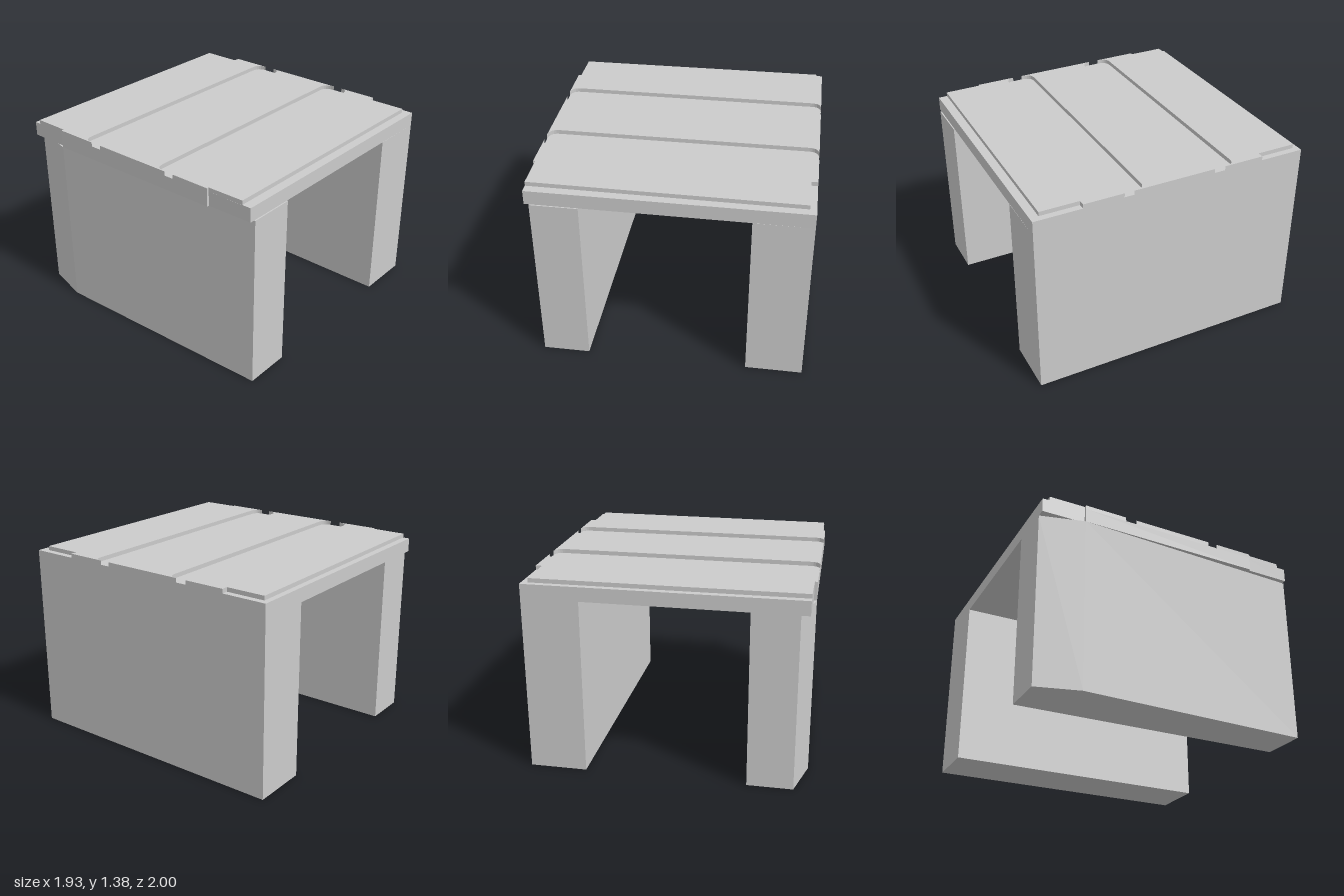
import * as THREE from 'three';

const material = new THREE.MeshStandardMaterial({ color: 0xcccccc, flatShading: true });

// Start a plan outline from [x, z] corners
function plan(points) {
  return new THREE.Shape(points.map(([x, z]) => new THREE.Vector2(x, -z)));
}

// Raise a plan outline from y0 to y1
function prism(name, shape, y0, y1) {
  const geometry = new THREE.ExtrudeGeometry(shape, { depth: y1 - y0, bevelEnabled: false, curveSegments: 6 });
  geometry.rotateX(-Math.PI / 2).translate(0, y0, 0);
  const mesh = new THREE.Mesh(geometry, material);
  mesh.name = name;
  return mesh;
}

const RIGHT = 0.965;
// Slightly slanting edge of the roof on the -x side
const leftEdge = (z) => -0.97 + (z + 0.69) * 0.011;

// Panel edge beside a groove: rounded ends run out to the roof edges.
// 'side' is the groove's side line, 'end' is where the rounding meets the edge.
function grooveEdge(side, end, fromRight) {
  const xs = [RIGHT, leftEdge(end)];
  const inset = 0.07;
  const points = xs.map((x) => {
    const dir = Math.sign(x);
    const curve = new THREE.QuadraticBezierCurve(
      new THREE.Vector2(x, end),
      new THREE.Vector2(x, side),
      new THREE.Vector2(x - dir * inset, side)
    );
    return curve.getPoints(6).map((p) => [p.x, p.y]);
  });
  const line = [...points[0], ...points[1].reverse()];
  return fromRight ? line : line.reverse();
}

export function createModel() {
  const model = new THREE.Group();
  model.name = 'openShelter';

  // Side walls; the -x one is bent outwards near the back
  model.add(prism('leftWall', plan([[0.565, 1], [RIGHT, 1], [RIGHT, -1], [0.565, -1]]), 0, 1.25));
  model.add(prism('rightWall', plan([[-0.9, 1], [-0.57, 1], [-0.57, -1], [-0.89, -1], [-0.97, -0.69]]), 0, 1.25));

  // Roof slab with stepped -x edge
  model.add(prism('roofSlab', plan([
    [-0.935, 0.99], [RIGHT, 1], [RIGHT, -1], [-0.95, -1], [-0.95, -0.69],
    [leftEdge(-0.69), -0.69], [leftEdge(0.66), 0.66], [-0.94, 0.66],
  ]), 1.25, 1.35));

  // Raised panels, separated by two round-ended grooves
  model.add(prism('backPanel', plan([
    [-0.95, -0.69], [-0.95, -0.95], [0.92, -0.96], [0.92, -0.675], [RIGHT, -0.675],
    ...grooveEdge(-0.455, -0.38, true), [leftEdge(-0.69), -0.69],
  ]), 1.35, 1.38));
  model.add(prism('middlePanel', plan([
    ...grooveEdge(-0.235, -0.3, false), ...grooveEdge(0.22, 0.3, true),
  ]), 1.35, 1.38));
  model.add(prism('frontPanel', plan([
    ...grooveEdge(0.43, 0.37, false), [RIGHT, 0.66], [0.92, 0.66], [0.92, 0.94],
    [-0.935, 0.925], [-0.94, 0.66], [leftEdge(0.66), 0.66],
  ]), 1.35, 1.38));

  return model;
}
